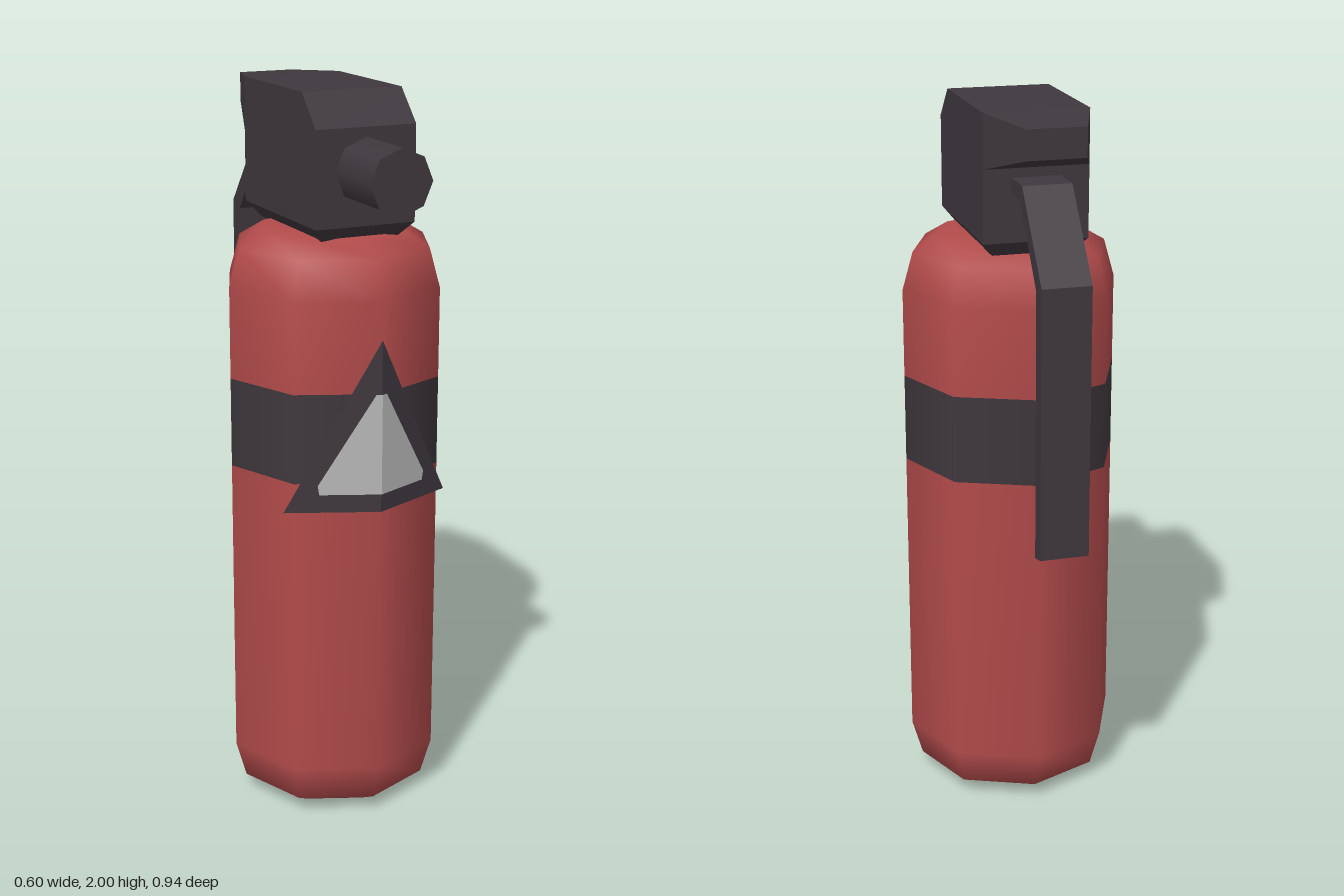
import * as THREE from 'three';

const mat = (name, color, side = THREE.FrontSide) => {
  const m = new THREE.MeshStandardMaterial({ color, side });
  m.name = name;
  return m;
};

export function createModel() {
  const red = mat('red paint', 0xb34b4b);
  const dark = mat('dark plastic', 0x3f383e, THREE.DoubleSide);
  const grey = mat('label grey', 0xb8b8b8, THREE.DoubleSide);
  const model = new THREE.Group();
  model.name = 'fireExtinguisher';

  const add = (name, geometry, material, parent = model) => {
    const mesh = new THREE.Mesh(geometry, material);
    mesh.name = name;
    parent.add(mesh);
    return mesh;
  };

  // Eight-sided tank, split where the dark band runs round it
  const R = 0.302, CZ = 0.075;
  const ring = (name, profile, material) => {
    const pts = profile.map(([r, y]) => new THREE.Vector2(r, y));
    add(name, new THREE.LatheGeometry(pts, 8), material).position.z = CZ;
  };
  ring('tankLower', [[0, 0], [0.2, 0.005], [0.272, 0.045], [R, 0.15], [R, 0.99]], red);
  ring('tankBand', [[R, 0.99], [R, 1.235]], dark);
  ring('tankUpper', [[R, 1.235], [R, 1.48], [0.272, 1.585], [0.2, 1.628], [0, 1.63]], red);

  // Side profile in (z, y), extruded across x; width(z, y) gives the half width
  const slab = (name, profile, width, parent) => {
    const shape = new THREE.Shape(profile.map(([z, y]) => new THREE.Vector2(z, y)));
    const g = new THREE.ExtrudeGeometry(shape, { depth: 2, bevelEnabled: false });
    g.translate(0, 0, -1).rotateY(-Math.PI / 2);
    const p = g.attributes.position;
    for (let i = 0; i < p.count; i++) {
      p.setX(i, Math.sign(p.getX(i)) * width(p.getZ(i), p.getY(i)));
    }
    g.computeVertexNormals();
    return add(name, g, dark, parent);
  };

  // Valve head: chamfered foot, main block and tapered carrying lip
  const head = new THREE.Group();
  head.name = 'valveHead';
  model.add(head);
  slab('headFoot', [[0.24, 1.62], [0.275, 1.66], [-0.19, 1.66], [-0.155, 1.62]],
    (z, y) => (y < 1.65 ? 0.11 : 0.142), head);
  slab('headBlock', [[0.275, 1.66], [0.275, 1.915], [0.19, 2], [-0.19, 2], [-0.19, 1.66]],
    () => 0.142, head);
  slab('carryingLip', [[-0.19, 1.855], [-0.19, 2], [-0.375, 1.988], [-0.375, 1.91]],
    (z) => (z < -0.3 ? 0.078 : 0.142), head);

  // Squeeze lever hanging behind the tank
  slab('lever', [
    [-0.18, 1.83], [-0.29, 1.83], [-0.47, 1.61], [-0.47, 0.88],
    [-0.422, 0.868], [-0.422, 1.592], [-0.267, 1.79], [-0.18, 1.79],
  ], () => 0.066);

  // Nozzle
  const nozzle = new THREE.CylinderGeometry(0.087, 0.087, 0.22, 8).rotateX(Math.PI / 2);
  add('nozzle', nozzle, dark).position.set(0, 1.803, 0.365);

  // Warning label: thin plates folded down the middle along the two front facets
  const label = (name, half, material, z0) => {
    for (const s of [1, -1]) {
      const shape = new THREE.Shape(half.map(([x, y]) => new THREE.Vector2(s * x, y)));
      const g = new THREE.ShapeGeometry(shape);
      const p = g.attributes.position;
      for (let i = 0; i < p.count; i++) p.setZ(i, z0 - 0.414 * Math.abs(p.getX(i)));
      g.computeVertexNormals();
      add(name + (s > 0 ? 'Left' : 'Right'), g, material);
    }
  };
  label('labelBorder', [[0, 0.91], [0.24, 0.91], [0, 1.38]], dark, CZ + R + 0.003);
  label('labelCentre', [[0, 0.96], [0.153, 0.96], [0.157, 0.985], [0.015, 1.235], [0, 1.235]],
    grey, CZ + R + 0.006);

  return model;
}
